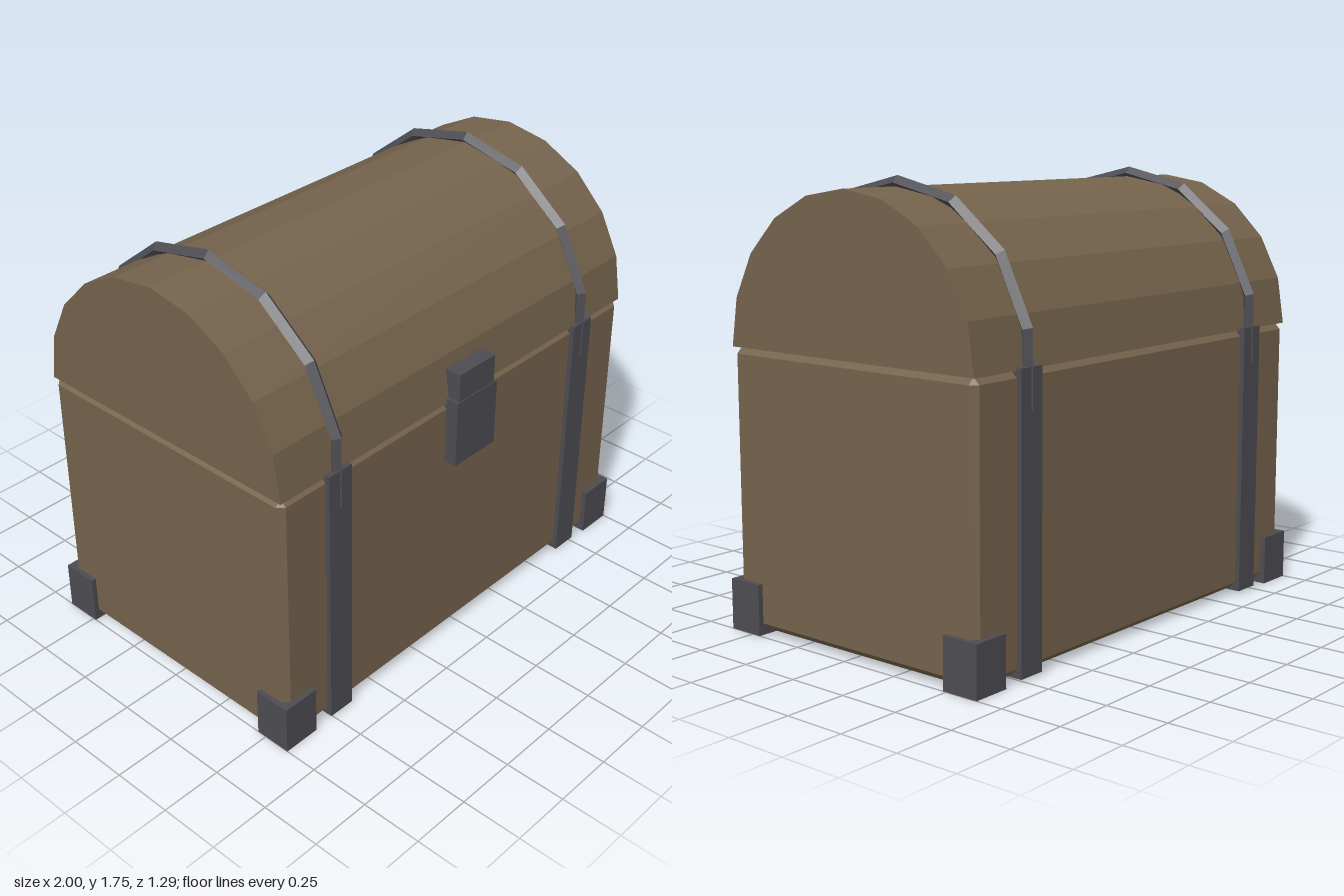
import * as THREE from 'three';
import { ConvexGeometry } from 'three/addons/geometries/ConvexGeometry.js';

const wood = new THREE.MeshStandardMaterial({ color: 0x75634c });
wood.name = 'wood';
const iron = new THREE.MeshStandardMaterial({ color: 0x4d4c52 });
iron.name = 'iron';

const BODY_Z = -0.013; // the latch in front shifts the chest slightly back
const RIM_Y = 1.1;
const LID_R = 0.605;

function addMesh(parent, name, geometry, material, x = 0, y = 0, z = 0) {
  const mesh = new THREE.Mesh(geometry, material);
  mesh.name = name;
  mesh.position.set(x, y, z);
  parent.add(mesh);
  return mesh;
}

// Box with flat chamfers along every edge
function chamferedBox(w, h, d, c) {
  const points = [];
  for (const sx of [-1, 1]) for (const sy of [-1, 1]) for (const sz of [-1, 1]) {
    const x = w / 2, y = h / 2, z = d / 2;
    points.push(
      new THREE.Vector3(sx * x, sy * (y - c), sz * (z - c)),
      new THREE.Vector3(sx * (x - c), sy * y, sz * (z - c)),
      new THREE.Vector3(sx * (x - c), sy * (y - c), sz * z));
  }
  return new ConvexGeometry(points);
}

// Half-round faceted lid, extruded along x
function lidGeometry(length, radius, sides) {
  const shape = new THREE.Shape();
  for (let i = 0; i <= sides; i++) {
    const a = (i / sides) * Math.PI;
    const px = Math.cos(a) * radius, py = Math.sin(a) * radius;
    if (i === 0) shape.moveTo(px, py);
    else shape.lineTo(px, py);
  }
  shape.closePath();
  const geometry = new THREE.ExtrudeGeometry(shape, { depth: length, bevelEnabled: false });
  geometry.translate(0, 0, -length / 2);
  geometry.rotateY(Math.PI / 2);
  return geometry;
}

// Diamond-section hoop with 14 straight spans, one corner at the top
function hoopGeometry() {
  const geometry = new THREE.TorusGeometry(0.619, 0.026, 4, 14).toNonIndexed();
  geometry.rotateZ(Math.PI / 2);
  geometry.rotateY(Math.PI / 2);
  geometry.computeVertexNormals();
  return geometry;
}

export function createModel() {
  const chest = new THREE.Group();
  chest.name = 'chest';

  addMesh(chest, 'body', chamferedBox(1.96, 1.08, 1.21, 0.025), wood, 0, 0.56, BODY_Z);
  addMesh(chest, 'lid', lidGeometry(1.96, LID_R, 10), wood, 0, RIM_Y, BODY_Z);

  for (const side of [-1, 1]) {
    const label = side > 0 ? 'left' : 'right';

    // Straps around the body and hoops over the lid
    addMesh(chest, label + 'BodyStrap', new THREE.BoxGeometry(0.114, 1.1, 1.25), iron,
      side * 0.705, 0.56, BODY_Z);
    addMesh(chest, label + 'LidHoop', hoopGeometry(), iron, side * 0.705, RIM_Y, BODY_Z);

    // Corner guards at the feet
    for (const end of [-1, 1]) {
      addMesh(chest, label + (end > 0 ? 'Front' : 'Back') + 'Corner',
        new THREE.BoxGeometry(0.155, 0.2, 0.153), iron,
        side * 0.9225, 0.1, BODY_Z + end * 0.55);
    }
  }

  // Latch on the front
  const latch = new THREE.Group();
  latch.name = 'latch';
  addMesh(latch, 'latchPlate', new THREE.BoxGeometry(0.23, 0.275, 0.09), iron, 0, 0.9825, 0.6);
  addMesh(latch, 'latchHasp', new THREE.BoxGeometry(0.2, 0.17, 0.09), iron, 0, 1.15, 0.596);
  chest.add(latch);

  return chest;
}
